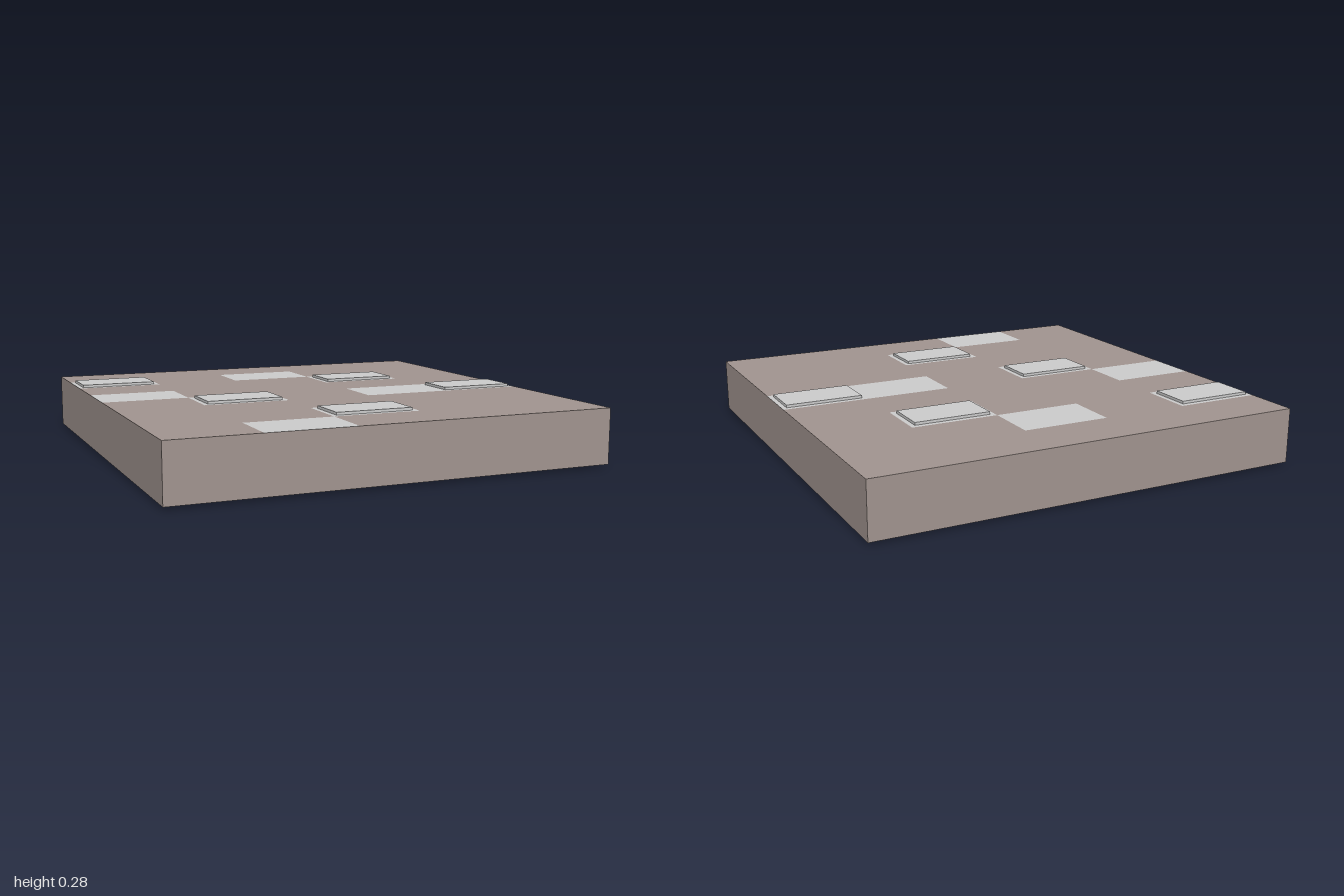
import * as THREE from 'three';

const COLS = 5, ROWS = 8;
const CELL_X = 0.4, CELL_Z = 0.25, BODY = 0.25, LIP = 0.0125;
const HEIGHT = BODY + 2 * LIP;

// [column, row] of the light blocks, counted from the back right corner
const FLUSH = [[2, 1], [0, 3], [3, 4], [1, 7]];
const RAISED = [[0, 1], [3, 2], [1, 4], [4, 4], [2, 6]];

const has = (list, c, r) => list.some(([a, b]) => a === c && b === r);

export function createModel() {
  const model = new THREE.Group();
  model.name = 'blockSlab';

  const brown = new THREE.MeshStandardMaterial({ color: 0xa1948f });
  const grey = new THREE.MeshStandardMaterial({ color: 0xcccccc });
  const lightFaces = [brown, brown, grey, grey, brown, brown]; // light top and bottom

  const blockGeometry = new THREE.BoxGeometry(CELL_X, BODY, CELL_Z);
  // one box per raised block pokes out of both the top and the bottom
  const panelGeometry = new THREE.BoxGeometry(0.355, HEIGHT, 0.2);

  for (let r = 0; r < ROWS; r++) {
    for (let c = 0; c < COLS; c++) {
      const x = (c + 0.5) * CELL_X - 1;
      const z = (r + 0.5) * CELL_Z - 1;
      const raised = has(RAISED, c, r);
      const light = raised || has(FLUSH, c, r);

      // block of the slab
      const block = new THREE.Mesh(blockGeometry, light ? lightFaces : brown);
      block.name = light ? 'lightBlock' : 'brownBlock';
      block.position.set(x, HEIGHT / 2, z);
      model.add(block);

      // raised panel
      if (raised) {
        const panel = new THREE.Mesh(panelGeometry, grey);
        panel.name = 'raisedPanel';
        panel.position.copy(block.position);
        model.add(panel);
      }
    }
  }
  return model;
}
